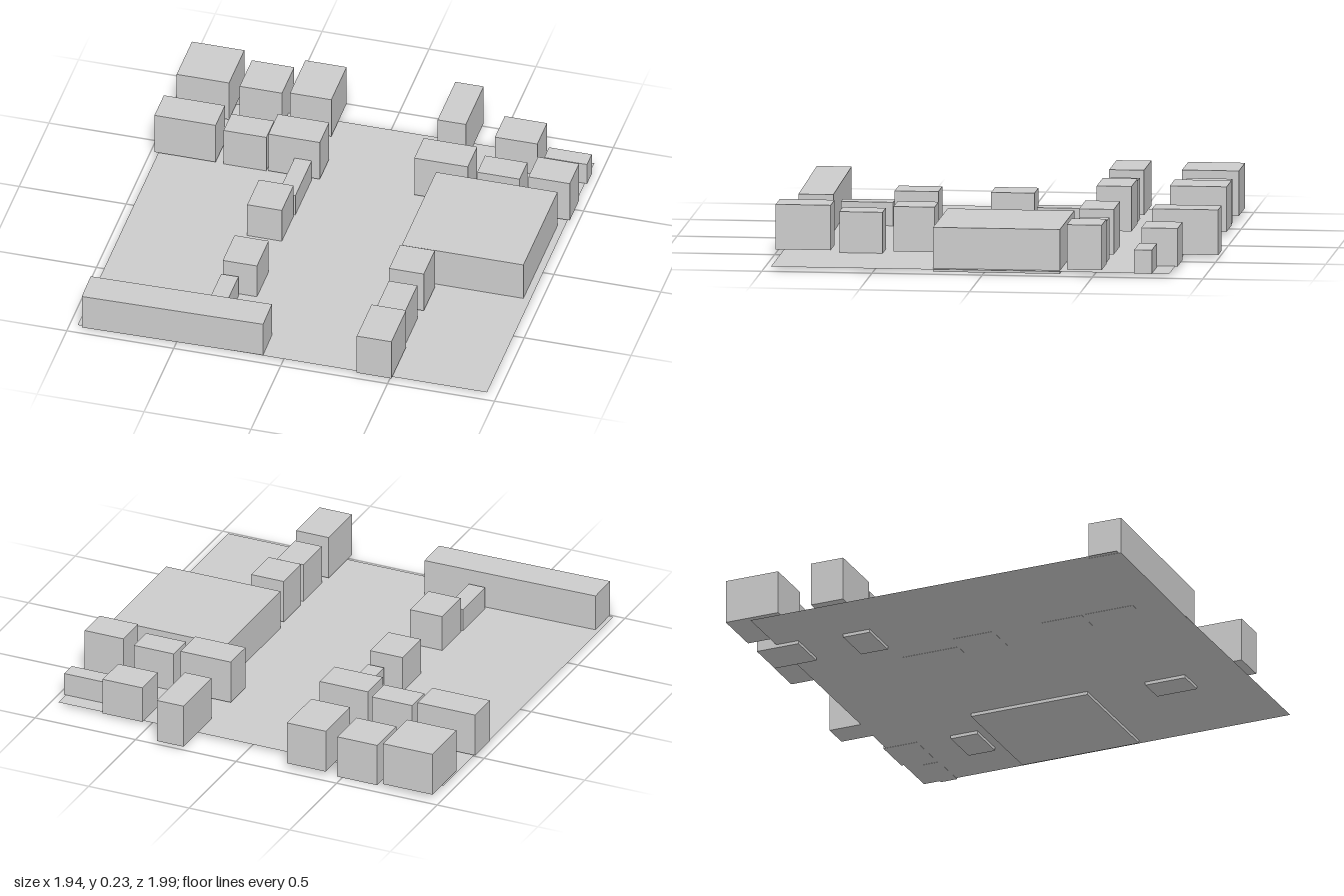
import * as THREE from 'three';

const material = new THREE.MeshStandardMaterial({ color: 0xcccccc, flatShading: true });
const groundMaterial = new THREE.MeshStandardMaterial({ color: 0xcccccc, side: THREE.DoubleSide });

// Building classes: [bottom, top]
const TALL = [0.03, 0.235], SUNK = [0.003, 0.205], TOWER = [0.02, 0.226];
const MEDIUM = [0.017, 0.19], LOW = [0.017, 0.125];

// A block given by its footprint and its bottom and top heights
function block(name, [x0, x1, z0, z1], [y0, y1], turn = 0) {
  const mesh = new THREE.Mesh(new THREE.BoxGeometry(x1 - x0, y1 - y0, z1 - z0), material);
  mesh.position.set((x0 + x1) / 2, (y0 + y1) / 2, (z0 + z1) / 2);
  mesh.rotation.y = turn;
  mesh.name = name;
  return mesh;
}

export function createModel() {
  const model = new THREE.Group();
  model.name = 'cityBlock';

  // Flat ground sheet
  const ground = new THREE.Mesh(new THREE.PlaneGeometry(1.914, 1.908 - 0.1), groundMaterial);
  ground.name = 'ground';
  ground.rotation.x = -Math.PI / 2;
  ground.position.set(-0.002, 0.018, 0.06);
  model.add(ground);

  const rows = {
    // Rear edge of the site
    rearBuilding: [
      [[-0.96, -0.715, -0.965, -0.707], TALL],
      [[-0.673, -0.475, -0.94, -0.735], SUNK],
      [[-0.43, -0.237, -0.965, -0.707], TALL],
      [[0.262, 0.394, -1.0, -0.7], TOWER],
      [[0.533, 0.731, -0.855, -0.69], MEDIUM],
      [[0.765, 0.965, -0.765, -0.685], LOW],
    ],
    // Second row, across the site
    middleBuilding: [
      [[-0.973, -0.687, -0.538, -0.38], TALL],
      [[-0.653, -0.453, -0.523, -0.392], SUNK],
      [[-0.44, -0.2, -0.538, -0.38], TALL],
      [[0.242, 0.492, -0.538, -0.38], TALL],
      [[0.533, 0.731, -0.523, -0.392], SUNK],
      [[0.776, 0.969, -0.538, -0.38], TALL],
    ],
    // Right side of the street
    rightStreetBuilding: [
      [[-0.318, -0.238, -0.38, -0.105], LOW],
      [[-0.405, -0.243, -0.093, 0.104], MEDIUM],
      [[-0.398, -0.238, 0.343, 0.541], MEDIUM],
      [[-0.401, -0.32, 0.557, 0.794], LOW],
    ],
    // Left side of the street
    leftStreetBuilding: [
      [[0.357, 0.519, 0.272, 0.458], TALL],
      [[0.37, 0.503, 0.51, 0.706], SUNK],
      [[0.354, 0.516, 0.744, 0.993], TALL],
    ],
  };
  for (const [name, list] of Object.entries(rows)) {
    list.forEach(([footprint, height], i) => model.add(block(`${name}${i + 1}`, footprint, height)));
  }

  // Large hall and the long, slightly turned front building
  model.add(block('largeHall', [0.354, 0.922, -0.343, 0.232], SUNK));
  model.add(block('longFrontBuilding', [-0.938, -0.094, 0.81, 0.968], MEDIUM, 0.017));

  return model;
}
